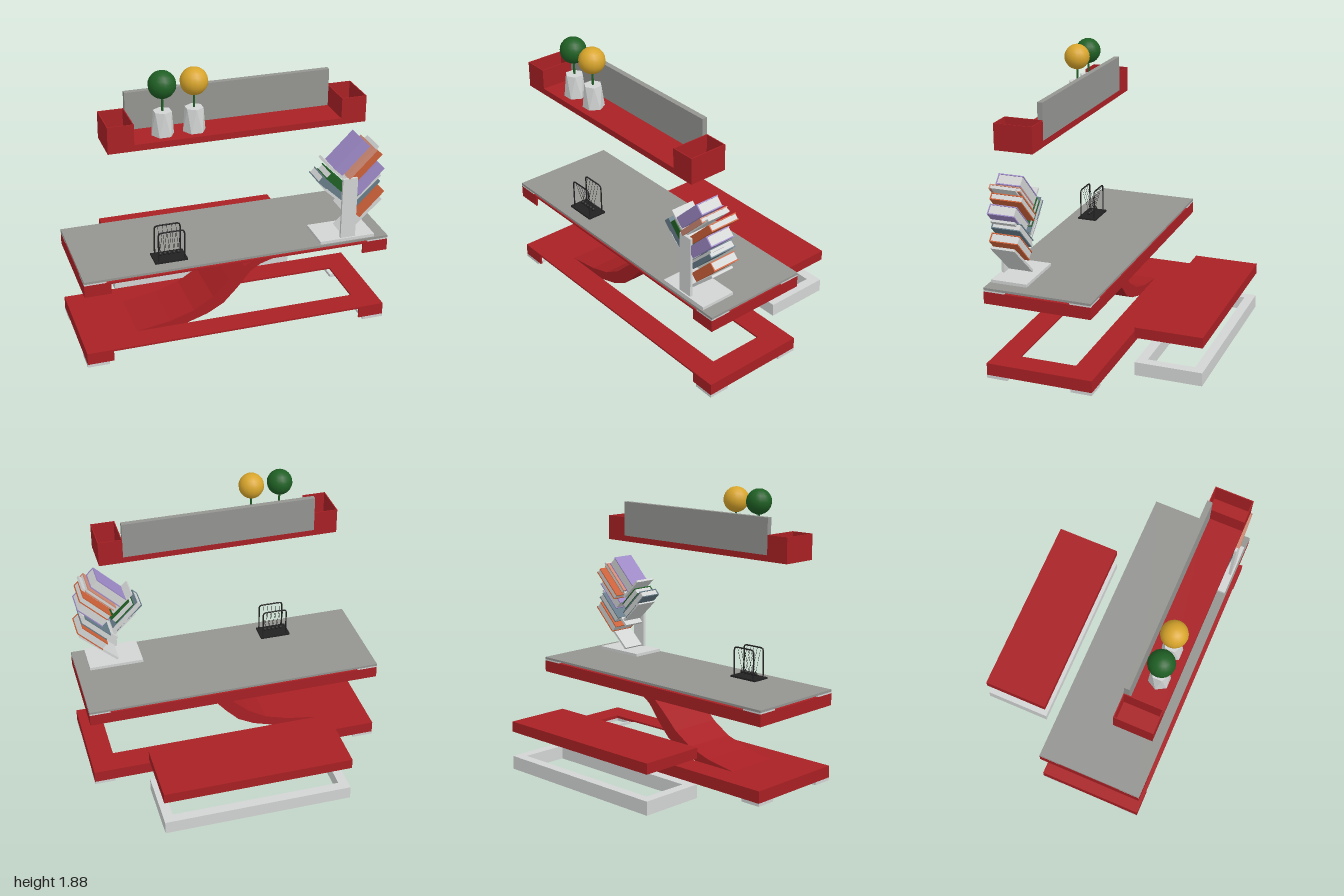
import * as THREE from 'three';

const mat = (name, color) => Object.assign(new THREE.MeshStandardMaterial({ color }), { name });

export function createModel() {
  const root = new THREE.Group();
  root.name = 'deskSet';
  const red = mat('red lacquer', 0xa82024), grey = mat('grey', 0x949591), white = mat('white', 0xd2d4d4),
    black = mat('black', 0x222222), green = mat('green', 0x1f5f24), yellow = mat('yellow', 0xd8a52c),
    purple = mat('purple', 0x9d89c6), orange = mat('orange', 0xcc6138), pink = mat('salmon', 0xcf8a74),
    slate = mat('slate', 0x667c88);

  const group = (name, parent = root) => {
    const g = new THREE.Group();
    g.name = name;
    parent.add(g);
    return g;
  };
  const add = (parent, name, geo, m, x = 0, y = 0, z = 0) => {
    const mesh = new THREE.Mesh(geo, m);
    mesh.name = name;
    mesh.position.set(x, y, z);
    parent.add(mesh);
    return mesh;
  };
  // Box given by its limits on each axis
  const box = (parent, name, m, x0, x1, y0, y1, z0, z1) =>
    add(parent, name, new THREE.BoxGeometry(x1 - x0, y1 - y0, z1 - z0), m, (x0 + x1) / 2, (y0 + y1) / 2, (z0 + z1) / 2);
  // Four upright walls around a rectangle
  const walls = (parent, name, m, t, x0, x1, y0, y1, z0, z1) => {
    box(parent, name, m, x0, x1, y0, y1, z0, z0 + t);
    box(parent, name, m, x0, x1, y0, y1, z1 - t, z1);
    box(parent, name, m, x0, x0 + t, y0, y1, z0 + t, z1 - t);
    box(parent, name, m, x1 - t, x1, y0, y1, z0 + t, z1 - t);
  };

  // Folded desk frames: a plate with a long opening, skirts on three sides and front corners
  const T = 0.012, Z0 = -0.06, Z1 = 0.65;
  function deck(name, y0, y1, h0, h1) {
    const g = group(name);
    box(g, 'plateEnd', red, -1, h0, y1 - T, y1, Z0, Z1);
    box(g, 'plateEnd', red, h1, 1, y1 - T, y1, Z0, Z1);
    box(g, 'plateBack', red, h0, h1, y1 - T, y1, Z0, 0.11);
    box(g, 'plateFront', red, h0, h1, y1 - T, y1, 0.49, Z1);
    box(g, 'backSkirt', red, -1, 1, y0, y1 - T, Z0, Z0 + T);
    for (const s of [-1, 1]) {
      const e = s * (1 - T / 2);
      box(g, 'endSkirt', red, e - T / 2, e + T / 2, y0, y1 - T, Z0 + T, Z1);
      const c = s * 0.909;
      box(g, 'frontCorner', red, c - 0.079, c + 0.079, y0, y1 - T, Z1 - T, Z1);
    }
  }
  deck('baseFrame', 0.02, 0.1, -0.64, 0.84);
  deck('upperFrame', 0.51, 0.59, -0.84, 0.64);

  // Hollow feet under the base and spacers under the desktop
  for (const x of [-1, 0.86]) for (const z of [Z0, 0.51]) {
    walls(root, 'foot', white, T, x, x + 0.14, 0, 0.02, z, z + 0.14);
    box(root, 'topSpacer', white, x, x + 0.14, 0.59, 0.6, z, z + 0.14);
  }
  box(root, 'desktop', grey, -1, 1, 0.6, 0.615, Z0, Z1);

  // Curved ribbon that joins both frames
  const top = [[-0.64, 0.1], [-0.42, 0.135], [-0.26, 0.185], [-0.13, 0.265], [-0.02, 0.37], [0.08, 0.455], [0.16, 0.495], [0.27, 0.52], [0.45, 0.555], [0.65, 0.588]];
  const under = [[0.65, 0.545], [0.46, 0.51], [0.29, 0.485], [0.19, 0.455], [0.12, 0.41], [0.03, 0.3], [-0.06, 0.205], [-0.17, 0.145], [-0.31, 0.1], [-0.46, 0.075], [-0.64, 0.06]];
  const ribbon = new THREE.Shape([...top, ...under].map(p => new THREE.Vector2(p[0], p[1])));
  add(root, 'ribbonSupport', new THREE.ExtrudeGeometry(ribbon, { depth: 0.38, bevelEnabled: false }), red, 0, 0, 0.11);

  // Bench behind the desk: hollow seat above a ring plinth
  const bench = group('bench');
  box(bench, 'seat', red, -0.62, 0.65, 0.318, 0.33, -0.655, -0.21);
  walls(bench, 'seatSkirt', red, T, -0.62, 0.65, 0.26, 0.318, -0.655, -0.21);
  walls(bench, 'plinth', white, 0.065, -0.62, 0.65, 0, 0.09, -0.655, -0.21);

  // Wall shelf with an open bin at each end and a back panel
  const shelf = group('wallShelf');
  box(shelf, 'shelfFloor', red, -0.66, 0.64, 1.44, 1.48, 0.385, 0.64);
  for (const x of [-0.82, 0.64]) {
    box(shelf, 'binFloor', red, x, x + 0.16, 1.44, 1.452, 0.385, 0.64);
    walls(shelf, 'binWall', red, 0.006, x, x + 0.16, 1.452, 1.61, 0.385, 0.64);
  }
  box(shelf, 'backPanel', grey, -0.66, 0.64, 1.48, 1.72, 0.385, 0.42);

  // Ball trees in twisted pots
  for (const [x, leaf] of [[-0.46, green], [-0.265, yellow]]) {
    const g = group('pottedTree');
    const pot = new THREE.CylinderGeometry(0.058, 0.07, 0.15, 6).toNonIndexed();
    const p = pot.attributes.position, v = new THREE.Vector3(), up = new THREE.Vector3(0, 1, 0);
    for (let i = 0; i < p.count; i++) {
      v.fromBufferAttribute(p, i);
      if (v.y < 0) p.setXYZ(i, ...v.applyAxisAngle(up, Math.PI / 6).toArray());
    }
    pot.computeVertexNormals();
    add(g, 'pot', pot, white, x, 1.555, 0.535);
    add(g, 'stem', new THREE.CylinderGeometry(0.007, 0.007, 0.1, 8), green, x, 1.67, 0.535);
    add(g, 'crown', new THREE.SphereGeometry(0.085, 16, 12), leaf, x, 1.795, 0.535);
  }

  // Swinging-ball toy: base, two wire hoops, five balls on strings
  const toy = group('swingingBalls');
  box(toy, 'toyBase', black, -0.53, -0.32, 0.615, 0.627, 0.44, 0.57);
  const rod = (name, m, r, a, b) => add(toy, name,
    new THREE.TubeGeometry(new THREE.LineCurve3(new THREE.Vector3(...a), new THREE.Vector3(...b)), 1, r, 5), m);
  for (const z of [0.455, 0.555]) {
    const hoop = new THREE.CurvePath(), pt = (x, y) => new THREE.Vector3(x, y, z);
    hoop.add(new THREE.LineCurve3(pt(-0.505, 0.62), pt(-0.505, 0.8)));
    hoop.add(new THREE.QuadraticBezierCurve3(pt(-0.505, 0.8), pt(-0.505, 0.823), pt(-0.482, 0.823)));
    hoop.add(new THREE.LineCurve3(pt(-0.482, 0.823), pt(-0.36, 0.823)));
    hoop.add(new THREE.QuadraticBezierCurve3(pt(-0.36, 0.823), pt(-0.337, 0.823), pt(-0.337, 0.8)));
    hoop.add(new THREE.LineCurve3(pt(-0.337, 0.8), pt(-0.337, 0.62)));
    add(toy, 'hoop', new THREE.TubeGeometry(hoop, 50, 0.005, 6), black);
    for (let i = 0; i < 5; i++) rod('string', black, 0.0012, [-0.482 + i * 0.0293, 0.823, z], [-0.482 + i * 0.0293, 0.655, 0.505]);
  }
  for (let i = 0; i < 5; i++)
    add(toy, 'ball', new THREE.SphereGeometry(0.013, 12, 8), black, -0.482 + i * 0.0293, 0.65, 0.505);

  // Book stand: foot, front post and tilted shelves
  const stand = group('bookStand');
  box(stand, 'standFoot', white, 0.54, 0.91, 0.615, 0.635, 0.4, 0.64);
  box(stand, 'post', white, 0.68, 0.78, 0.635, 1.05, 0.612, 0.63);
  const tilted = (name, x, y, angle) => {
    const g = group(name, stand);
    g.position.set(x, y, 0);
    g.rotation.z = angle;
    return g;
  };
  const R = Math.PI / 4;
  const ledge = (x0, y0, x1, y1) => {
    const h = Math.hypot(x1 - x0, y1 - y0) / 2;
    box(tilted('ledge', (x0 + x1) / 2, (y0 + y1) / 2, Math.atan2(y1 - y0, x1 - x0)), 'ledgePlate', white, -h, h, -0.008, 0.008, 0.45, 0.612);
  };
  ledge(0.705, 0.64, 0.955, 0.87);
  ledge(0.7, 0.81, 0.94, 1.04);
  ledge(0.7, 1.03, 0.915, 1.245);
  ledge(0.585, 1.15, 0.72, 1.02);
  ledge(0.57, 0.99, 0.72, 0.85);

  // Books: page block inside two covers and a spine facing forward
  const C = 0.007;
  const book = (m, x, y, angle, len, t, z0, z1) => {
    const g = tilted('book', x, y, angle), a = len / 2, b = t / 2;
    box(g, 'cover', m, -a, a, b - C, b, z0, z1);
    box(g, 'cover', m, -a, a, -b, -b + C, z0, z1);
    box(g, 'spine', m, -a, a, -b + C, b - C, z1 - C, z1);
    box(g, 'pages', white, -a + 0.004, a - 0.004, -b + C, b - C, z0 + 0.004, z1 - C);
  };
  book(purple, 0.742, 1.182, R, 0.26, 0.073, 0.445, 0.61);
  book(pink, 0.797, 1.15, R, 0.25, 0.032, 0.43, 0.64);
  book(orange, 0.843, 1.107, R, 0.25, 0.045, 0.4, 0.61);
  book(purple, 0.855, 1.03, R, 0.23, 0.07, 0.445, 0.625);
  book(slate, 0.845, 0.93, R, 0.23, 0.05, 0.42, 0.61);
  book(orange, 0.873, 0.857, R, 0.23, 0.06, 0.42, 0.61);
  book(slate, 0.625, 0.975, -R, 0.25, 0.05, 0.45, 0.61);
  book(green, 0.655, 1.015, -R, 0.18, 0.05, 0.45, 0.61);
  return root;
}
